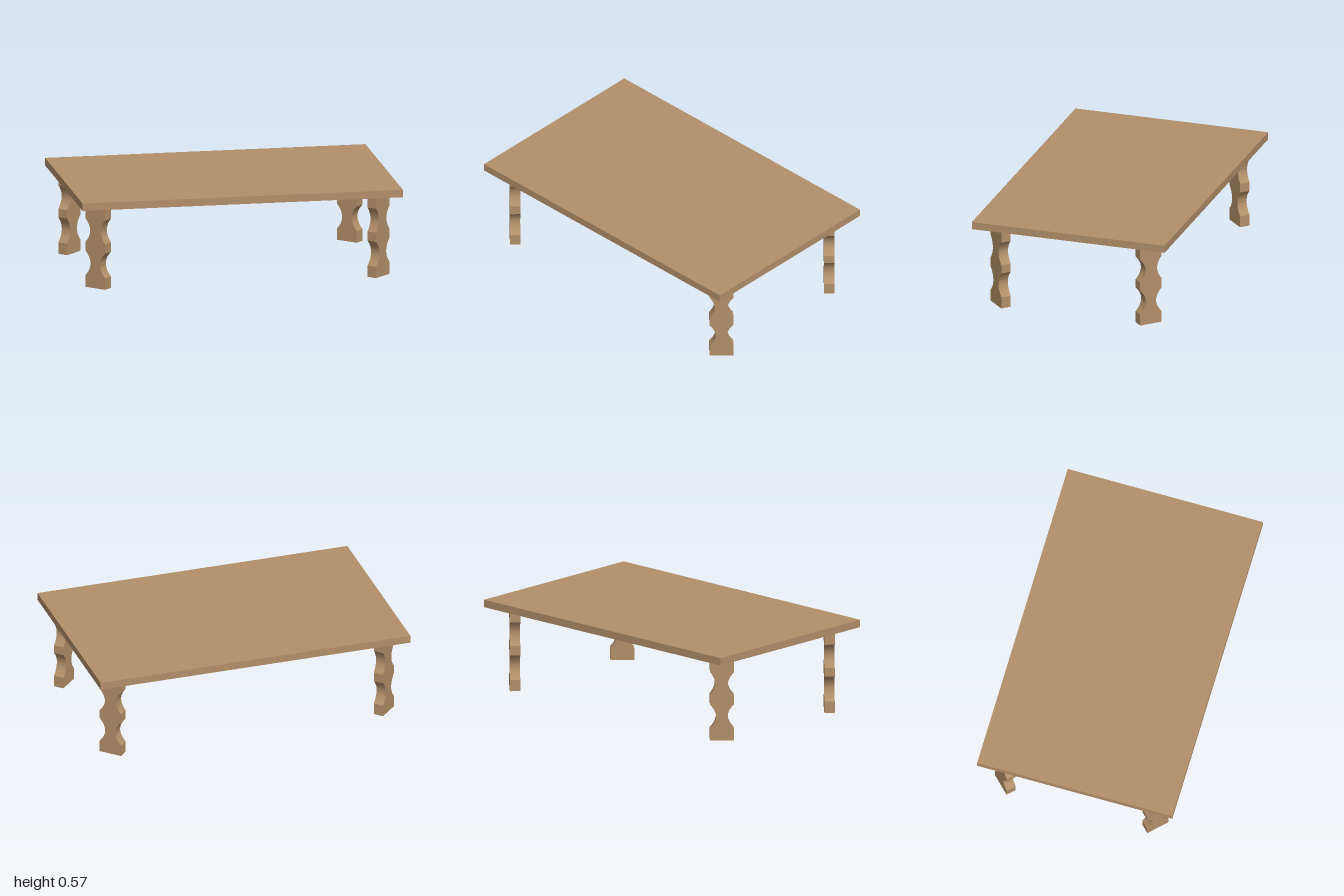
import * as THREE from 'three';
import { toCreasedNormals } from 'three/addons/utils/BufferGeometryUtils.js';

const LEG_HEIGHT = 0.52;
const LEG_HALF_WIDTH = 0.0735;
const LEG_THICKNESS = 0.064;

// Plank leg with two scooped notches on each edge; flip mirrors the outline
function legGeometry(flip) {
  const w = LEG_HALF_WIDTH;
  const shape = new THREE.Shape();
  // Parabolic notch from y0 to y1 on one edge
  const notch = (side, y0, y1, depth) => {
    shape.lineTo(flip * side * w, y0);
    shape.quadraticCurveTo(flip * side * (w - 2 * depth), (y0 + y1) / 2, flip * side * w, y1);
  };
  shape.moveTo(-flip * w, 0);
  shape.lineTo(flip * w, 0);
  notch(1, 0.073, 0.23, 0.038);
  notch(1, 0.284, 0.433, 0.036);
  shape.lineTo(flip * w, LEG_HEIGHT);
  shape.lineTo(-flip * w, LEG_HEIGHT);
  notch(-1, 0.437, 0.287, 0.031);
  notch(-1, 0.228, 0.072, 0.038);
  shape.closePath();

  const geometry = new THREE.ExtrudeGeometry(shape, {
    depth: LEG_THICKNESS, bevelEnabled: false, curveSegments: 16,
  });
  geometry.translate(0, 0, -LEG_THICKNESS / 2);
  return toCreasedNormals(geometry, 0.4);
}

export function createModel() {
  const model = new THREE.Group();
  model.name = 'lowTable';
  const wood = new THREE.MeshStandardMaterial({ color: 0xb28f69 });
  wood.name = 'wood';

  // Table top
  const top = new THREE.Mesh(new THREE.BoxGeometry(2, 0.047, 1.247), wood);
  top.name = 'tableTop';
  top.position.y = LEG_HEIGHT + 0.0235;
  model.add(top);

  // Four legs, each with its broad face turned out toward its corner
  for (const sx of [-1, 1]) {
    for (const sz of [-1, 1]) {
      const leg = new THREE.Mesh(legGeometry(sx * sz), wood);
      leg.name = (sz > 0 ? 'front' : 'back') + (sx > 0 ? 'Left' : 'Right') + 'Leg';
      leg.position.set(sx * 0.8755, 0, sz * 0.479);
      leg.rotation.y = Math.atan2(sx, sz);
      model.add(leg);
    }
  }
  return model;
}
